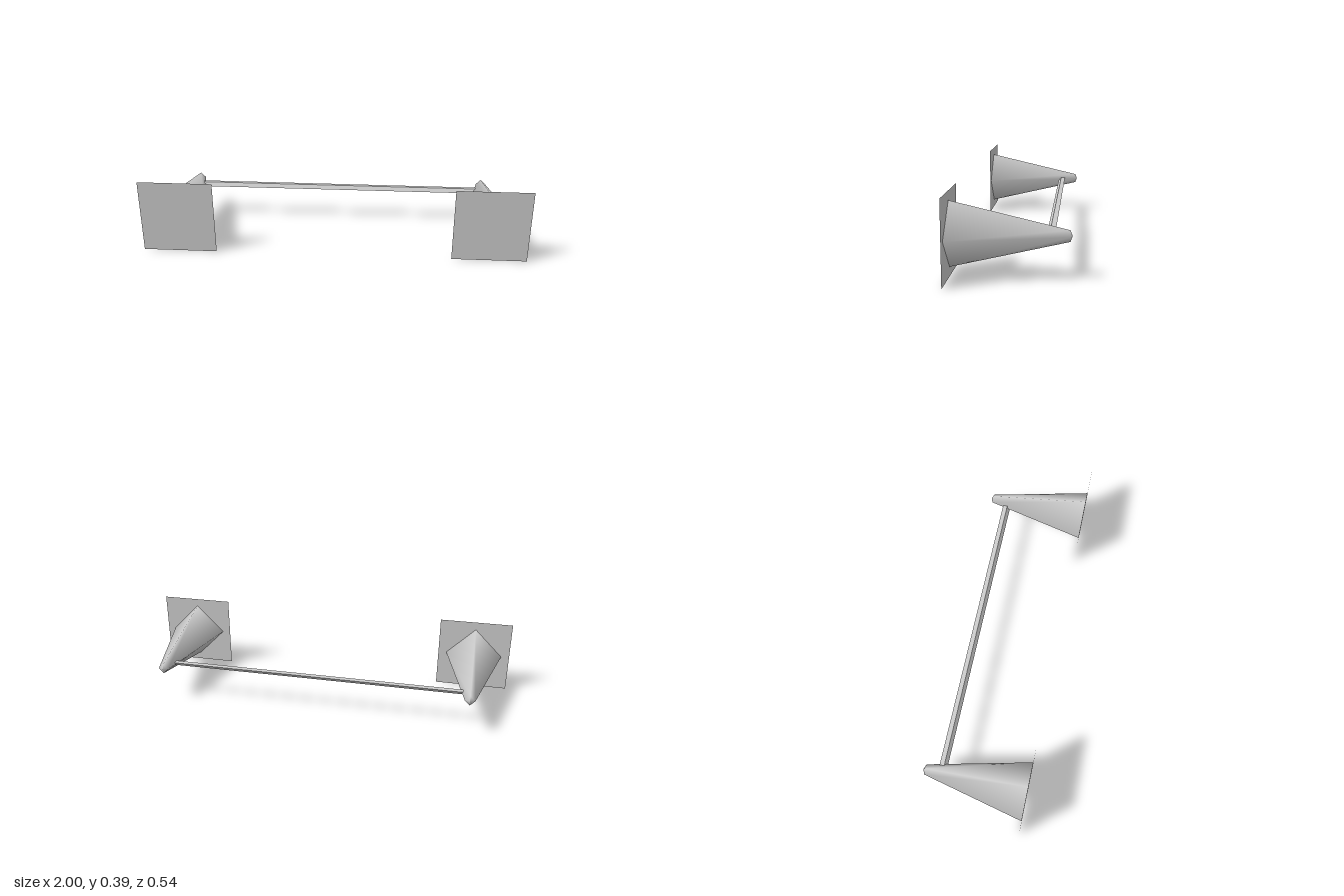
import * as THREE from 'three';

const grey = new THREE.MeshStandardMaterial({ color: 0xcccccc, side: THREE.DoubleSide });
grey.name = 'light grey';

const AXIS_Y = 0.193, SIDE_X = 0.807, FRONT_Z = 0.271;

function part(name, geometry, x, y, z) {
  const mesh = new THREE.Mesh(geometry, grey);
  mesh.name = name;
  mesh.position.set(x, y, z);
  return mesh;
}

export function createModel() {
  const model = new THREE.Group();
  model.name = 'twinHornFrame';

  // Four-sided tapering horn with a blunt point, running back from the plate
  const profile = [[0.15, 0], [0.026, 0.533], [0, 0.542]].map(([r, h]) => new THREE.Vector2(r, h));
  const horn = new THREE.LatheGeometry(profile, 4).rotateX(-Math.PI / 2);
  const plate = new THREE.PlaneGeometry(0.386, 0.386);

  for (const [side, s] of [['left', 1], ['right', -1]]) {
    model.add(part(side + 'Plate', plate, s * SIDE_X, AXIS_Y, FRONT_Z));
    model.add(part(side + 'Horn', horn, s * SIDE_X, AXIS_Y, FRONT_Z));
  }

  // Crossbar: a skewed four-sided section (shape x = -z, shape y = y)
  const section = new THREE.Shape(
    [[0.02, 0.009], [-0.004, 0.011], [-0.02, -0.009], [0.004, -0.011]].map(([a, b]) => new THREE.Vector2(a, b))
  );
  const length = 1.54;
  const bar = new THREE.ExtrudeGeometry(section, { depth: length, bevelEnabled: false })
    .translate(0, 0, -length / 2)
    .rotateY(Math.PI / 2);
  model.add(part('crossbar', bar, 0, 0.191, -0.175));

  return model;
}
